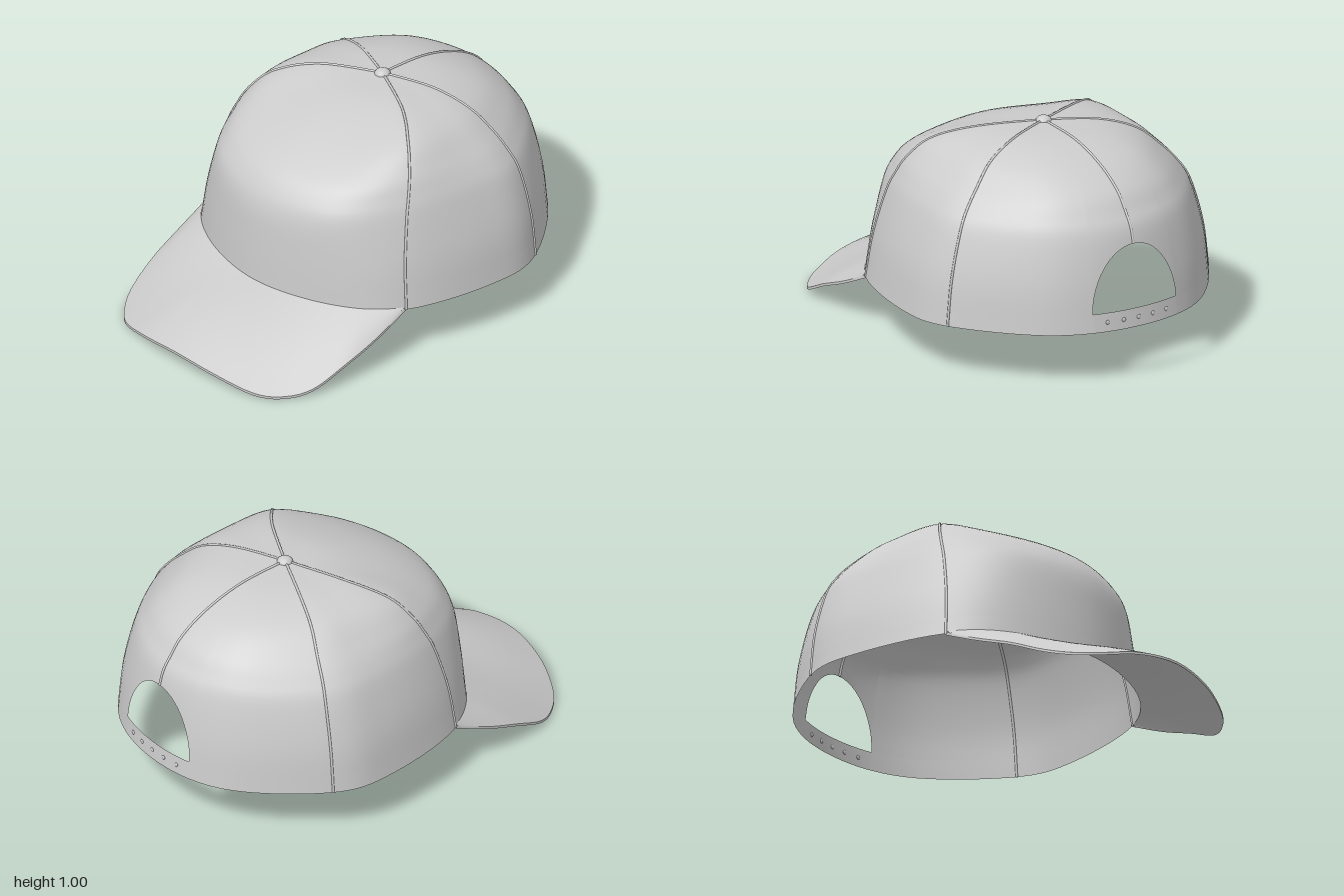
import * as THREE from 'three';
import { toCreasedNormals } from 'three/addons/utils/BufferGeometryUtils.js';

const fabric = new THREE.MeshStandardMaterial({ color: 0xcccccc, side: THREE.DoubleSide });
fabric.name = 'light grey fabric';

const V = (x, y, z) => new THREE.Vector3(x, y, z);
const spline = (points, closed = false) => new THREE.CatmullRomCurve3(points, closed, 'catmullrom', 0.5);

// Crown meridians from front centre, over the left side, to back centre.
// Each rises from the rim to the button in seven steps.
const APEX = [0, 0.98, -0.26];
const halfMeridians = [
  [[0, 0.25, 0.525], [0, 0.45, 0.515], [0, 0.61, 0.5], [0, 0.71, 0.46], [0, 0.79, 0.38], [0, 0.885, 0.2], [0, 0.957, -0.03], APEX],
  [[0.39, 0.25, 0.425], [0.375, 0.45, 0.415], [0.36, 0.63, 0.395], [0.345, 0.72, 0.355], [0.32, 0.8, 0.28], [0.26, 0.89, 0.12], [0.15, 0.96, -0.08], APEX],
  [[0.625, 0.245, 0.2], [0.597, 0.45, 0.18], [0.56, 0.65, 0.135], [0.535, 0.74, 0.1], [0.5, 0.82, 0.06], [0.42, 0.91, -0.01], [0.26, 0.965, -0.13], APEX],
  [[0.73, 0.24, -0.22], [0.7, 0.45, -0.22], [0.64, 0.65, -0.23], [0.595, 0.74, -0.23], [0.53, 0.82, -0.24], [0.42, 0.915, -0.25], [0.25, 0.965, -0.255], APEX],
  [[0.69, 0.24, -0.52], [0.665, 0.45, -0.515], [0.61, 0.65, -0.5], [0.56, 0.74, -0.48], [0.49, 0.82, -0.455], [0.385, 0.91, -0.41], [0.22, 0.965, -0.35], APEX],
  [[0.38, 0.24, -0.885], [0.37, 0.45, -0.865], [0.345, 0.65, -0.825], [0.32, 0.74, -0.785], [0.285, 0.82, -0.73], [0.225, 0.905, -0.625], [0.13, 0.96, -0.47], APEX],
  [[0, 0.24, -0.99], [0, 0.45, -0.97], [0, 0.65, -0.935], [0, 0.74, -0.885], [0, 0.82, -0.82], [0, 0.9, -0.69], [0, 0.96, -0.5], APEX],
];
const meridians = [];
for (let i = 0; i < 12; i++) {
  const side = i <= 6 ? 1 : -1;
  const points = halfMeridians[i <= 6 ? i : 12 - i];
  meridians.push(spline(points.map(([x, y, z]) => V(side * x, y, z))));
}

// Point on the crown: u runs round the head (0..12), t from rim (0) to button (7)
function crownPoint(u, t) {
  const ring = spline(meridians.map((m) => m.getPoint(t / 7)), true);
  return ring.getPoint((((u % 12) + 12) % 12) / 12);
}

// Indexed surface over a grid of points
function grid(nu, nv, point, closed = false) {
  const pos = [], index = [];
  const cols = closed ? nu : nu + 1;
  for (let j = 0; j <= nv; j++) {
    for (let i = 0; i < cols; i++) pos.push(...point(i, j).toArray());
  }
  for (let j = 0; j < nv; j++) {
    for (let i = 0; i < nu; i++) {
      const a = j * cols + i, b = j * cols + ((i + 1) % cols), c = a + cols, d = b + cols;
      index.push(a, b, d, a, d, c);
    }
  }
  const g = new THREE.BufferGeometry();
  g.setAttribute('position', new THREE.Float32BufferAttribute(pos, 3));
  g.setIndex(index);
  g.computeVertexNormals();
  return g;
}

export function createModel() {
  const cap = new THREE.Group();
  cap.name = 'cap';
  const add = (name, geometry) => {
    const mesh = new THREE.Mesh(geometry, fabric);
    mesh.name = name;
    cap.add(mesh);
    return mesh;
  };

  // Columns round the crown, bunched towards the corners of the rear opening
  const HOLE = 0.57, STRAP = 0.4, ARCH = 1.35;
  const columns = [];
  for (let i = 0; i < 80; i++) columns.push(-6 + HOLE + ((12 - 2 * HOLE) * i) / 80);
  for (let k = 0; k < 24; k++) columns.push(6 - HOLE * Math.cos((Math.PI * k) / 24));
  const lowerEdge = (u) => {
    const d = (u - 6) / HOLE;
    return STRAP + (Math.abs(d) < 1 ? ARCH * Math.sqrt(1 - d * d) : 0);
  };

  // Crown with the arched opening at the back, and the band and strap below it
  const ROWS = 32;
  add('crown', grid(columns.length, ROWS, (i, j) => {
    const t0 = lowerEdge(columns[i]);
    return crownPoint(columns[i], t0 + ((7 - t0) * j) / ROWS);
  }, true));
  add('rimBandAndStrap', grid(columns.length, 2, (i, j) => crownPoint(columns[i], (STRAP * j) / 2), true));

  // Seams between the panels
  const seams = { frontLeftSeam: 2, backLeftSeam: 4, backSeam: 6, backRightSeam: 8, frontRightSeam: 10 };
  for (const [name, u] of Object.entries(seams)) {
    const start = u === 6 ? STRAP + ARCH : 0;
    const points = [];
    for (let k = 0; k <= 16; k++) points.push(crownPoint(u, start + ((6.9 - start) * k) / 16));
    add(name, new THREE.TubeGeometry(spline(points), 40, 0.006, 6));
  }

  // Button on top
  const button = add('topButton', new THREE.SphereGeometry(0.036, 20, 12));
  button.scale.y = 0.75;
  button.position.set(0, 0.973, -0.26);

  // Small snaps along the strap
  for (let k = -2; k <= 2; k++) {
    const snap = add('strapSnap', new THREE.SphereGeometry(0.01, 10, 8));
    snap.position.copy(crownPoint(6 + k * 0.2, 0.2));
    snap.scale.z = 0.5;
  }

  // Curved brim lofted from the crown's front rim to its outer edge
  const halfEdge = [[0.622, 0.245, 0.2], [0.62, 0.165, 0.38], [0.605, 0.1, 0.55], [0.57, 0.03, 0.71],
    [0.5, 0.006, 0.82], [0.4, 0.015, 0.905], [0.22, 0.06, 0.97]];
  const outer = spline([
    ...halfEdge.map(([x, y, z]) => V(-x, y, z)),
    V(0, 0.085, 0.993),
    ...halfEdge.slice().reverse().map(([x, y, z]) => V(x, y, z)),
  ]);
  const STEPS = 10, THICK = 0.012;
  add('brim', toCreasedNormals(grid(2 * STEPS + 1, 64, (i, j) => {
    const top = i <= STEPS;
    const s = (top ? i : 2 * STEPS + 1 - i) / STEPS;
    const v = j / 64;
    const p = crownPoint(-2 + 4 * v, 0.03).lerp(outer.getPoint(v), s);
    p.y += 0.015 * Math.sin(Math.PI * s) * Math.sin(Math.PI * v) + (top ? THICK / 2 : -THICK / 2);
    return p;
  }), 0.7));

  return cap;
}
